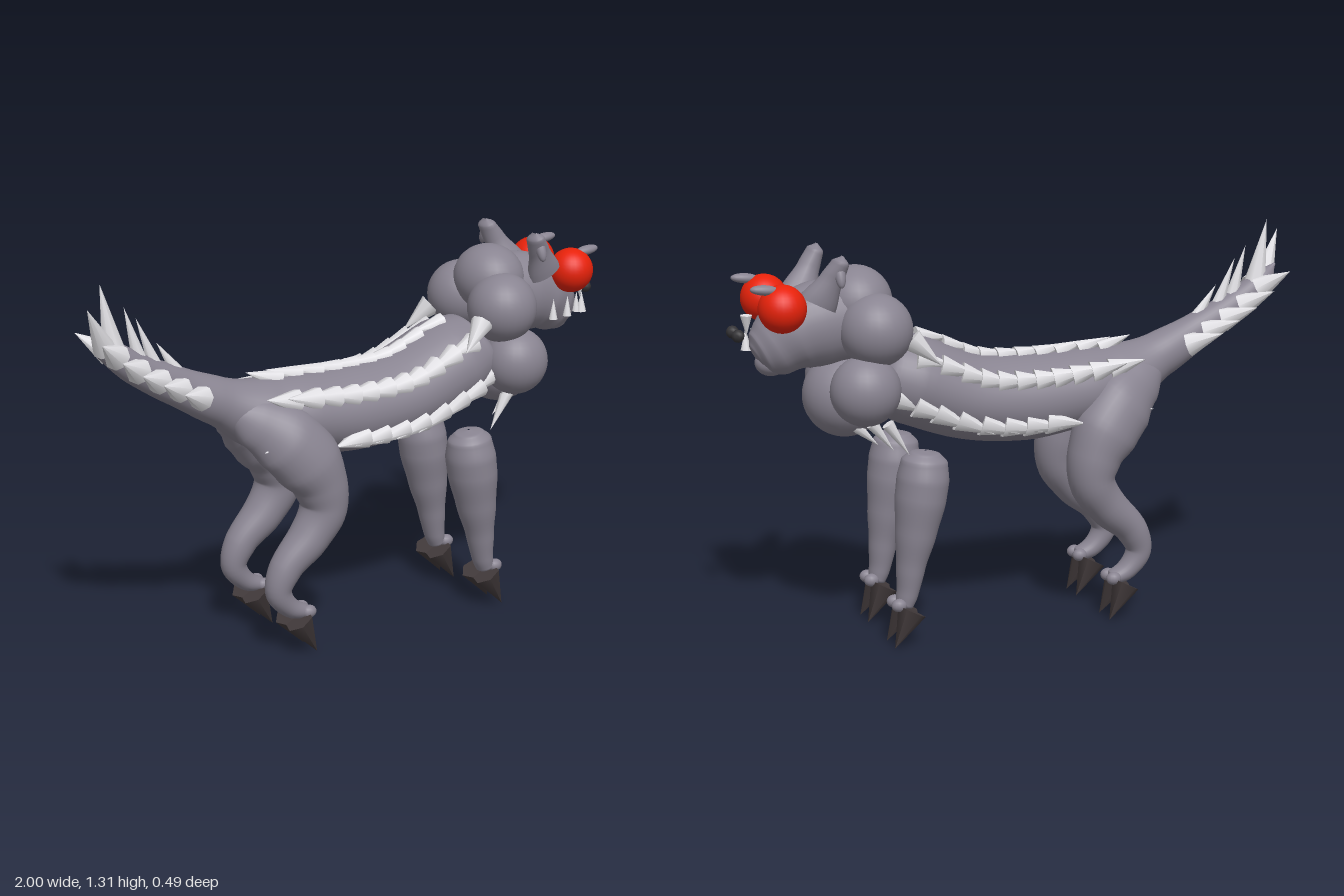
import * as THREE from 'three';

const mat = (name, color) => {
  const m = new THREE.MeshStandardMaterial({ color });
  m.name = name;
  return m;
};
const V = (x, y, z) => new THREE.Vector3(x, y, z);

// Smooth elliptical sweep in the xy plane; each section is [x, y, inPlaneRadius, zRadius, zCentre]
function makeSweep(sections) {
  const path = new THREE.CatmullRomCurve3(sections.map(s => V(s[0], s[1], s[4] || 0)), false, 'centripetal');
  const radii = sections.map(s => [s[2], s[3]]);
  const frame = u => {
    const k = Math.min(u * (radii.length - 1), radii.length - 1.0001);
    const i = Math.floor(k), f = k - i, s = f * f * (3 - 2 * f) * 0.5 + f * 0.5;
    const p = path.getPoint(u), t = path.getTangent(u);
    t.z = 0;
    t.normalize();
    return {
      p, t, n: V(-t.y, t.x, 0),
      ry: THREE.MathUtils.lerp(radii[i][0], radii[i + 1][0], s),
      rz: THREE.MathUtils.lerp(radii[i][1], radii[i + 1][1], s),
    };
  };
  const at = (u, a) => {
    const { p, t, n, ry, rz } = frame(u);
    const pos = p.clone().addScaledVector(n, ry * Math.cos(a)).add(V(0, 0, rz * Math.sin(a)));
    const out = n.clone().multiplyScalar(Math.cos(a)).add(V(0, 0, Math.sin(a)));
    return { pos, out, t };
  };
  // Parameter of a given x, for paths whose x increases
  const findX = x => {
    let lo = 0, hi = 1;
    for (let i = 0; i < 30; i++) {
      const mid = (lo + hi) / 2;
      if (path.getPoint(mid).x < x) lo = mid; else hi = mid;
    }
    return lo;
  };
  const geometry = (sides = 28) => {
    const rows = (sections.length - 1) * 6, pos = [], index = [];
    for (let i = 0; i <= rows; i++)
      for (let j = 0; j < sides; j++) pos.push(...at(i / rows, (j / sides) * Math.PI * 2).pos.toArray());
    for (let i = 0; i < rows; i++)
      for (let j = 0; j < sides; j++) {
        const a = i * sides + j, b = i * sides + (j + 1) % sides;
        index.push(a, b, b + sides, a, b + sides, a + sides);
      }
    const g = new THREE.BufferGeometry();
    g.setAttribute('position', new THREE.Float32BufferAttribute(pos, 3));
    g.setIndex(index);
    g.computeVertexNormals();
    return g;
  };
  return { at, findX, geometry };
}

export function createModel() {
  const model = new THREE.Group();
  model.name = 'spikedBeast';
  const hide = mat('greyHide', 0x898491);
  const bone = mat('paleBone', 0xe2e1e5);
  const claw = mat('darkClaw', 0x423a3b);
  const nose = mat('blackNostril', 0x343336);
  const red = mat('redEye', 0xe8220a);

  const add = (name, geo, material) => {
    const m = new THREE.Mesh(geo, material);
    m.name = name;
    model.add(m);
    return m;
  };
  const ball = (name, material, p, r, scale = [1, 1, 1], detail = 28) => {
    const m = add(name, new THREE.SphereGeometry(r, detail, Math.ceil(detail * 0.7)), material);
    m.position.set(...p);
    m.scale.set(...scale);
    return m;
  };
  // Cone between a base point and a tip
  const spike = (name, material, base, tip, r, sides = 8) => {
    const d = tip.clone().sub(base), len = d.length();
    const m = add(name, new THREE.ConeGeometry(r, len, sides).translate(0, len / 2, 0), material);
    m.position.copy(base);
    m.quaternion.setFromUnitVectors(V(0, 1, 0), d.normalize());
    return m;
  };

  // Body and tail
  const body = makeSweep([
    [-0.945, 1.16, 0.004, 0.004], [-0.9, 1.11, 0.038, 0.036], [-0.8, 1.03, 0.052, 0.046],
    [-0.65, 0.945, 0.064, 0.056], [-0.5, 0.87, 0.08, 0.08], [-0.35, 0.805, 0.12, 0.13],
    [-0.2, 0.785, 0.135, 0.16], [0, 0.77, 0.147, 0.172], [0.2, 0.79, 0.145, 0.178],
    [0.4, 0.865, 0.15, 0.18], [0.5, 0.9, 0.13, 0.15], [0.57, 0.94, 0.005, 0.005],
  ]);
  add('bodyAndTail', body.geometry(36), hide);

  // Rows of overlapping spikes that point backwards along the body
  const spikeRow = (name, angle, x0, x1, count, len, r, flare) => {
    for (let i = 0; i < count; i++) {
      const { pos, out, t } = body.at(body.findX(x0 + (x1 - x0) * i / (count - 1)), angle);
      const base = pos.clone().addScaledVector(out, -0.012);
      const dir = t.clone().negate().addScaledVector(out, flare).normalize();
      spike(name, bone, base, base.clone().addScaledVector(dir, len), r);
    }
  };
  spikeRow('backSpike', 0, -0.29, 0.42, 10, 0.13, 0.036, 0.22);
  for (const s of [1, -1]) {
    spikeRow('flankSpike', s * 0.95, -0.28, 0.44, 11, 0.13, 0.041, 0.22);
    spikeRow('bellySpike', s * 2.05, -0.03, 0.48, 8, 0.135, 0.043, 0.24);
    spikeRow('tailSideSpike', s * 1.65, -0.87, -0.59, 5, 0.125, 0.043, 0.65);
    spike('hipSpike', bone, V(-0.31, 0.735, s * 0.14), V(-0.42, 0.72, s * 0.15), 0.03);
    spike('shoulderSpike', bone, V(0.44, 1.025, s * 0.15), V(0.35, 0.94, s * 0.185), 0.04);
    // Chest fringe
    [[0.53, 0.76, 0.17, 0.46, 0.65], [0.57, 0.755, 0.13, 0.5, 0.66], [0.61, 0.74, 0.08, 0.535, 0.67]]
      .forEach(([x, y, z, tx, ty]) => spike('chestSpike', bone, V(x, y, s * z), V(tx, ty, s * (z + 0.01)), 0.021));
  }
  // Upright tail spikes, the last one leaning to the side
  [[-0.91, 1.11, -1, 1.265, 0.09], [-0.87, 1.1, -0.91, 1.315, 0], [-0.78, 1.05, -0.83, 1.23, 0],
    [-0.72, 1.01, -0.79, 1.19, 0], [-0.64, 0.98, -0.72, 1.1, 0]]
    .forEach(([x, y, tx, ty, z], i) => spike('tailSpike', bone, V(x, y, z * 0.2), V(tx, ty, z), i < 2 ? 0.038 : 0.026));

  // Ruff of round lobes around the neck
  ball('crownLobe', hide, [0.577, 1.133, 0], 0.118, [1, 1, 1.12]);
  ball('throatLobe', hide, [0.62, 0.83, 0], 0.138);
  for (const s of [1, -1]) {
    ball('upperRuffLobe', hide, [0.547, 1.057, s * 0.117], 0.119);
    ball('lowerRuffLobe', hide, [0.592, 0.867, s * 0.138], 0.115, [1, 1, 0.94]);
  }

  // Head and jaw
  add('head', makeSweep([
    [0.56, 1.08, 0.13, 0.12], [0.7, 1.07, 0.14, 0.125], [0.79, 1.045, 0.127, 0.115],
    [0.855, 1.005, 0.102, 0.094], [0.893, 0.985, 0.077, 0.07], [0.909, 0.977, 0.045, 0.04],
    [0.914, 0.974, 0.003, 0.003],
  ]).geometry(), hide);
  ball('jaw', hide, [0.862, 0.955, 0], 0.05, [1.05, 0.88, 1]);

  for (const s of [1, -1]) {
    ball('eye', red, [0.85, 1.145, s * 0.107], 0.077);
    const brow = ball('browHorn', hide, [0.908, 1.21, s * 0.118], 0.048, [1, 0.34, 0.42], 16);
    brow.rotation.z = 0.1;
    ball('nostril', nose, [0.976, 1.055, s * 0.036], 0.021, [1, 1, 1], 8);
    // Ears with an outer lobe
    add('ear', makeSweep([
      [0.735, 1.15, 0.065, 0.05, s * 0.1], [0.695, 1.23, 0.038, 0.036, s * 0.125],
      [0.667, 1.285, 0.027, 0.038, s * 0.138], [0.66, 1.306, 0.003, 0.01, s * 0.14],
    ]).geometry(16), hide);
    const lobe = ball('earLobe', hide, [0.675, 1.25, s * 0.158], 0.022, [0.8, 2, 0.8], 14);
    lobe.rotation.x = -s * 0.4;
  }

  // Teeth along one side of the mouth
  for (const [x, z, r] of [[0.77, 0.118, 0.015], [0.84, 0.107, 0.015], [0.905, 0.075, 0.014], [0.92, 0.085, 0.018]])
    spike('lowerTooth', bone, V(x, 0.983, z), V(x, 1.055, z), r);
  spike('upperTooth', bone, V(0.92, 1.098, 0.072), V(0.92, 1.03, 0.075), 0.02);

  // Feet: two knuckles and two claws
  const foot = (x, s) => {
    for (const [kz, bz, tz] of [[0.12, 0.11, 0.1], [0.17, 0.175, 0.185]]) {
      ball('toe', hide, [x, 0.147, s * kz], 0.022, [1.2, 1, 1], 14);
      spike('claw', claw, V(x - 0.042, 0.124, s * bz), V(x + 0.022, 0.005, s * tz), 0.05, 6);
    }
  };
  for (const s of [1, -1]) {
    const z = s * 0.145;
    add('frontLeg', makeSweep([
      [0.395, 0.655, 0.004, 0.004, z], [0.396, 0.647, 0.05, 0.048, z], [0.399, 0.62, 0.077, 0.074, z],
      [0.405, 0.56, 0.086, 0.09, z], [0.415, 0.49, 0.084, 0.09, z], [0.432, 0.38, 0.068, 0.074, z],
      [0.45, 0.27, 0.048, 0.054, z], [0.463, 0.18, 0.036, 0.042, z], [0.475, 0.14, 0.03, 0.036, z],
      [0.48, 0.13, 0.003, 0.003, z],
    ]).geometry(), hide);
    foot(0.5, s);
    // Thigh slopes forward from the rump, then the shin folds back to the hock
    add('hindLeg', makeSweep([
      [-0.5, 0.86, 0.02, 0.02, s * 0.04], [-0.41, 0.805, 0.085, 0.065, s * 0.075], [-0.325, 0.745, 0.115, 0.093, s * 0.115],
      [-0.25, 0.66, 0.116, 0.103, s * 0.133], [-0.205, 0.575, 0.092, 0.095, s * 0.14], [-0.195, 0.49, 0.077, 0.085, z],
      [-0.25, 0.4, 0.068, 0.072, z], [-0.34, 0.31, 0.055, 0.056, z], [-0.37, 0.23, 0.044, 0.045, z],
      [-0.325, 0.165, 0.034, 0.04, z], [-0.27, 0.143, 0.024, 0.034, z], [-0.255, 0.14, 0.003, 0.003, z],
    ]).geometry(), hide);
    foot(-0.268, s);
  }
  return model;
}
